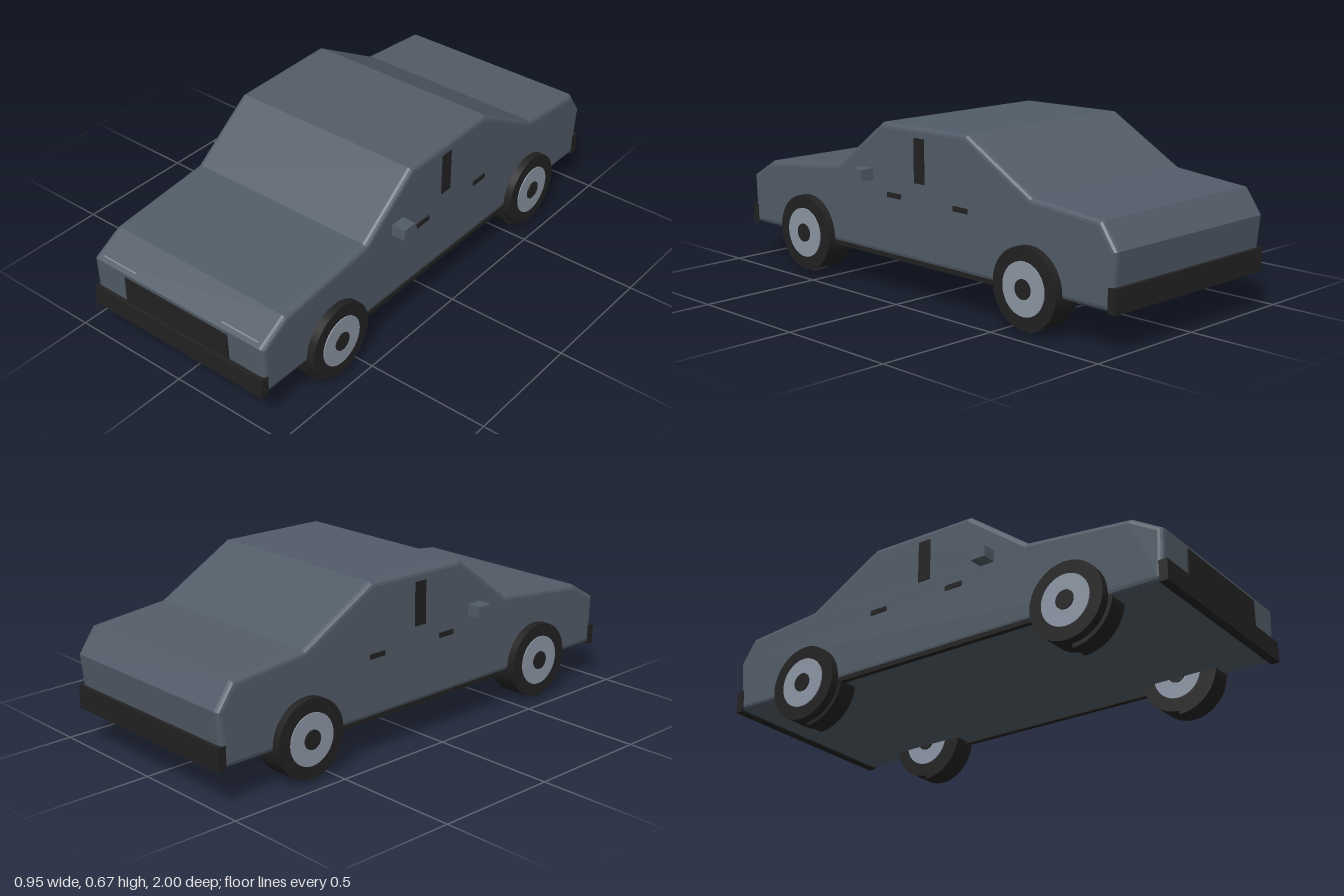
import * as THREE from 'three';

const mat = (name, color, side = THREE.FrontSide) => {
  const m = new THREE.MeshStandardMaterial({ color, side });
  m.name = name;
  return m;
};

export function createModel() {
  const car = new THREE.Group();
  car.name = 'car';
  const paint = mat('slate paint', 0x525c68);
  const black = mat('black rubber', 0x222222, THREE.DoubleSide);
  const silver = mat('light silver', 0x8d97a6);

  const add = (name, geometry, material, x, y, z, parent = car) => {
    const mesh = new THREE.Mesh(geometry, material);
    mesh.name = name;
    mesh.position.set(x, y, z);
    parent.add(mesh);
    return mesh;
  };
  // Box given by its extents on each axis
  const box = (name, material, [x0, x1], [y0, y1], [z0, z1]) =>
    add(name, new THREE.BoxGeometry(x1 - x0, y1 - y0, z1 - z0), material,
      (x0 + x1) / 2, (y0 + y1) / 2, (z0 + z1) / 2);
  // Cylinder lying along x
  const disc = (radius, width, ...theta) =>
    new THREE.CylinderGeometry(radius, radius, width, 32, 1, false, ...theta).rotateZ(Math.PI / 2);

  // Body: side profile (z, y) extruded across the width with soft edges
  const profile = [
    [0.98, 0.15], [0.988, 0.352], [0.865, 0.424], [0.43, 0.47], [0.17, 0.664], [-0.29, 0.669],
    [-0.61, 0.487], [-0.93, 0.457], [-0.998, 0.36], [-0.975, 0.15],
  ];
  const bevel = 0.02, width = 0.83;
  const body = new THREE.ExtrudeGeometry(
    new THREE.Shape(profile.map(([z, y]) => new THREE.Vector2(z, y))), {
      depth: width - 2 * bevel, bevelEnabled: true, bevelThickness: bevel,
      bevelSize: bevel, bevelOffset: -bevel, bevelSegments: 3,
    });
  body.translate(0, 0, bevel - width / 2).rotateY(-Math.PI / 2);
  add('body', body, paint, 0, 0, 0);

  // Bumpers and grille
  box('frontBumper', black, [-0.415, 0.415], [0.145, 0.226], [0.965, 1]);
  box('rearBumper', black, [-0.415, 0.415], [0.145, 0.236], [-1, -0.965]);
  box('grille', black, [-0.25, 0.25], [0.23, 0.338], [0.97, 0.993]);

  for (const side of [-1, 1]) {
    const span = (a, b) => [Math.min(side * a, side * b), Math.max(side * a, side * b)];

    box('headlight', silver, span(0.21, 0.38), [0.35, 0.364], [0.957, 0.972]);
    box('mirror', paint, span(0.41, 0.473), [0.435, 0.48], [0.22, 0.283]);
    box('doorPillar', black, span(0.411, 0.418), [0.455, 0.626], [-0.07, -0.015]);
    box('sill', black, span(0.395, 0.417), [0.142, 0.16], [-0.5, 0.5]);
    for (const z of [0.098, -0.262])
      box('doorHandle', black, span(0.411, 0.42), [0.381, 0.4], [z - 0.037, z + 0.037]);

    // Wheels with a half-round liner on the forward half
    for (const z of [0.612, -0.61]) {
      const wheel = new THREE.Group();
      wheel.name = z > 0 ? 'frontWheel' : 'rearWheel';
      wheel.position.set(side * 0.389, 0.168, z);
      car.add(wheel);
      add('tire', disc(0.152, 0.116), black, 0, 0, 0, wheel);
      add('rim', disc(0.1, 0.124), silver, 0, 0, 0, wheel);
      add('hub', disc(0.037, 0.132), black, 0, 0, 0, wheel);
      add('wheelLiner', disc(0.168, 0.08, -Math.PI / 2, Math.PI), black, side * -0.019, 0, 0, wheel);
    }
  }
  return car;
}
